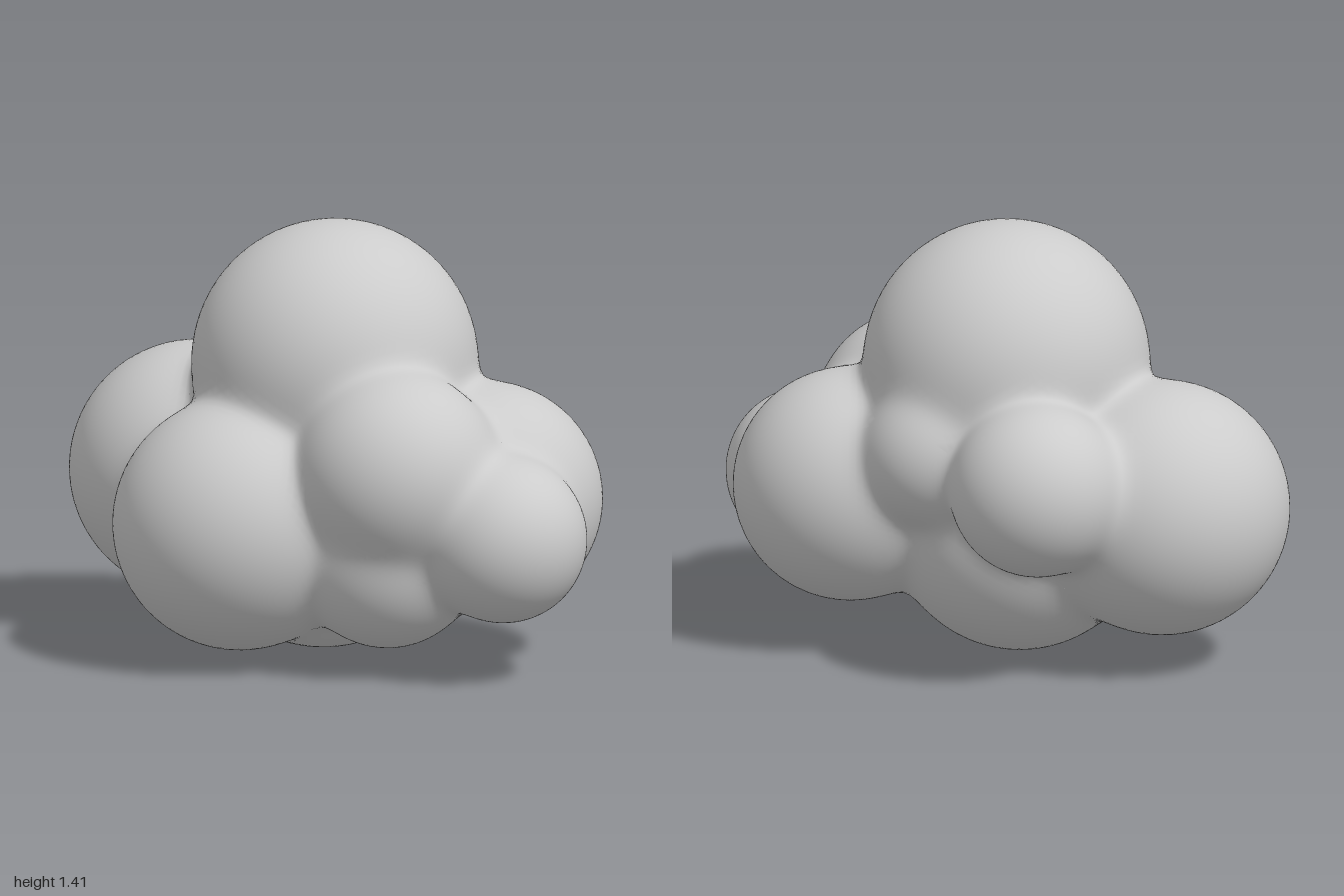
import * as THREE from 'three';

// Puffs of the cloud: name, centre x, y, z, radius
const PUFFS = [
  ['topPuff', -0.03, 0.945, -0.07, 0.463],
  ['rightPuff', -0.585, 0.525, -0.005, 0.413],
  ['frontPuff', -0.09, 0.46, 0.312, 0.41],
  ['leftUpperPuff', 0.425, 0.67, 0.11, 0.33],
  ['leftBackPuff', 0.42, 0.525, -0.305, 0.378],
  ['leftTipPuff', 0.73, 0.47, -0.065, 0.27],
  ['rightBackPuff', -0.39, 0.655, -0.45, 0.28],
  ['leftLowerPuff', 0.35, 0.38, 0.08, 0.296],
  ['basePuff', -0.08, 0.425, -0.07, 0.422],
  ['backPuff', 0.03, 0.7, -0.39, 0.24],
].map(([name, x, y, z, radius]) => ({ name, centre: new THREE.Vector3(x, y, z), radius }));

const BLEND = 0.028; // softness of the seams
const BURIED = -0.12; // points deeper than this stay hidden inside

// Soft union of all puffs: returns the distance and writes the outward direction
const ray = new THREE.Vector3();
function field(p, normal) {
  let sum = 0;
  normal.set(0, 0, 0);
  for (const { centre, radius } of PUFFS) {
    ray.subVectors(p, centre);
    const length = ray.length() || 1e-6;
    const weight = Math.exp((radius - length) / BLEND);
    sum += weight;
    normal.addScaledVector(ray, weight / length);
  }
  normal.normalize();
  return -BLEND * Math.log(sum);
}

// A ball whose exposed skin is drawn onto the soft union, filleting the seams
function puffGeometry({ centre, radius }) {
  const geometry = new THREE.IcosahedronGeometry(radius, 15);
  geometry.translate(centre.x, centre.y, centre.z);
  const position = geometry.attributes.position;
  const normals = geometry.attributes.normal;
  const p = new THREE.Vector3();
  const n = new THREE.Vector3();
  for (let i = 0; i < position.count; i++) {
    p.fromBufferAttribute(position, i);
    if (field(p, n) > BURIED) {
      for (let step = 0; step < 5; step++) p.addScaledVector(n, -field(p, n));
      field(p, n);
    }
    position.setXYZ(i, p.x, p.y, p.z);
    normals.setXYZ(i, n.x, n.y, n.z);
  }
  return geometry;
}

export function createModel() {
  const group = new THREE.Group();
  group.name = 'cloud';
  const material = new THREE.MeshStandardMaterial({ color: 0xcccccc });
  for (const puff of PUFFS) {
    const mesh = new THREE.Mesh(puffGeometry(puff), material);
    mesh.name = puff.name;
    group.add(mesh);
  }
  return group;
}
